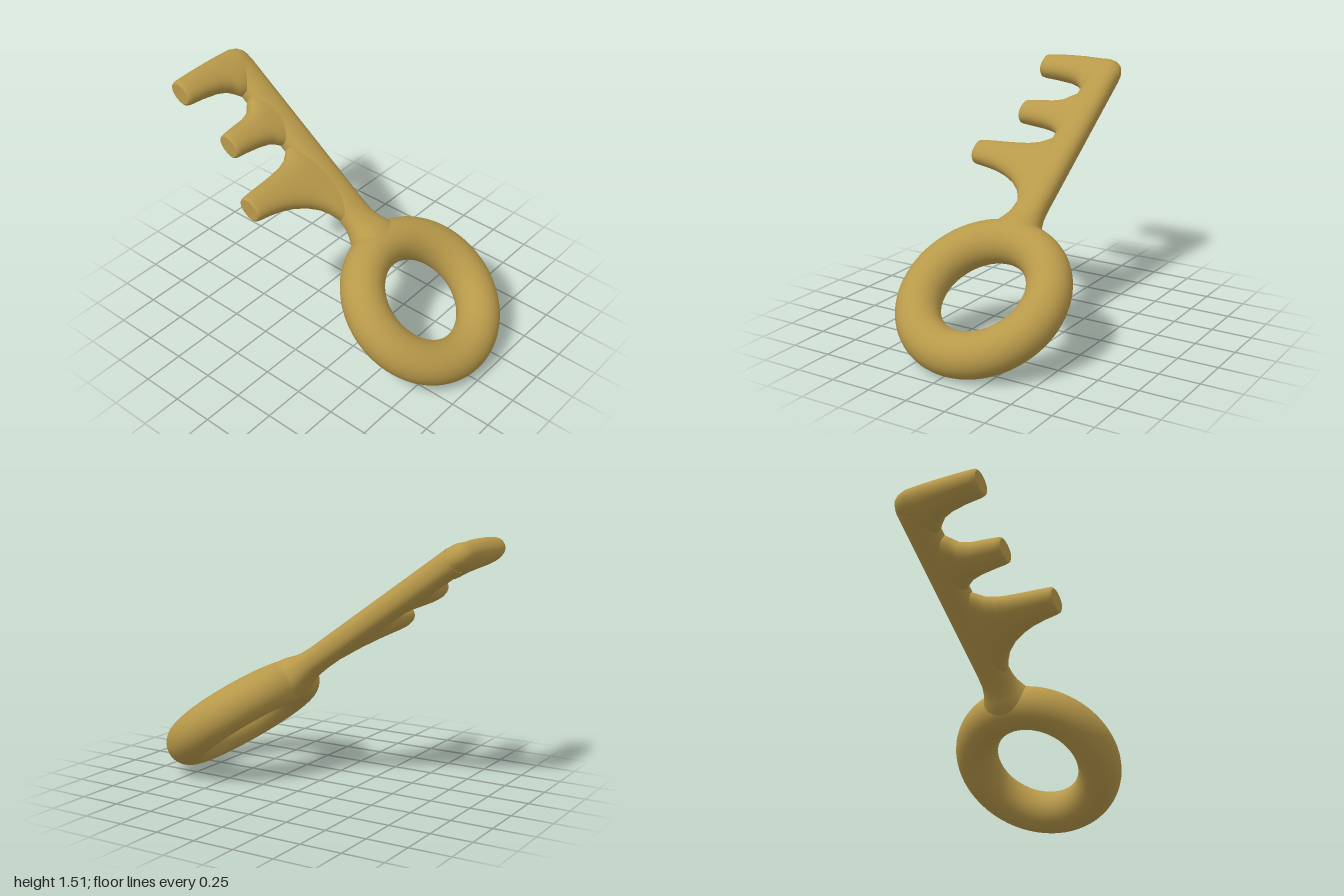
import * as THREE from 'three';

const SEGMENTS = 40;
const TILT = THREE.MathUtils.degToRad(36);

// Loft of rounded sections [z, xMin, xMax, halfThickness] stacked along z, with a flat cap at each end
function loft(sections) {
  const pos = [], index = [];
  const power = (v) => Math.sign(v) * Math.abs(v) ** 0.88;
  const ring = ([z, lo, hi, b]) => {
    for (let j = 0; j < SEGMENTS; j++) {
      const t = (j / SEGMENTS) * Math.PI * 2;
      pos.push((lo + hi) / 2 + ((hi - lo) / 2) * power(Math.cos(t)), b * power(Math.sin(t)), z);
    }
  };
  sections.forEach(ring);
  for (let i = 0; i < sections.length - 1; i++) {
    for (let j = 0; j < SEGMENTS; j++) {
      const k = (j + 1) % SEGMENTS, p = i * SEGMENTS, q = p + SEGMENTS;
      index.push(p + j, p + k, q + k, p + j, q + k, q + j);
    }
  }
  // Caps use their own vertices so the rim stays sharp
  [sections[0], sections[sections.length - 1]].forEach((s, end) => {
    const start = pos.length / 3;
    ring(s);
    const centre = pos.length / 3;
    pos.push((s[1] + s[2]) / 2, 0, s[0]);
    for (let j = 0; j < SEGMENTS; j++) {
      const a = start + j, b = start + ((j + 1) % SEGMENTS);
      if (end) index.push(centre, a, b);
      else index.push(centre, b, a);
    }
  });
  const geometry = new THREE.BufferGeometry();
  geometry.setAttribute('position', new THREE.Float32BufferAttribute(pos, 3));
  geometry.setIndex(index);
  geometry.computeVertexNormals();
  return geometry;
}

// Teeth sections: [z, nearest, farthest distance from the bow centre, halfThickness]
const TEETH = {
  tipTooth: [
    [-0.128, 1.74, 1.79, 0.012], [-0.122, 1.71, 1.825, 0.032], [-0.105, 1.69, 1.86, 0.053],
    [-0.075, 1.67, 1.882, 0.07], [-0.03, 1.63, 1.895, 0.078], [0.06, 1.6, 1.896, 0.079],
    [0.09, 1.635, 1.896, 0.079], [0.13, 1.672, 1.895, 0.079], [0.2, 1.697, 1.893, 0.078],
    [0.3, 1.712, 1.889, 0.075], [0.4, 1.719, 1.884, 0.066], [0.422, 1.724, 1.88, 0.06],
    [0.43, 1.734, 1.87, 0.05],
  ],
  middleTooth: [
    [-0.02, 1.2, 1.59, 0.074], [0.06, 1.22, 1.58, 0.076], [0.09, 1.25, 1.55, 0.076],
    [0.13, 1.274, 1.508, 0.076], [0.2, 1.291, 1.487, 0.075], [0.3, 1.303, 1.477, 0.072],
    [0.365, 1.308, 1.469, 0.065], [0.383, 1.312, 1.465, 0.06], [0.39, 1.322, 1.455, 0.05],
  ],
  longTooth: [
    [-0.02, 0.55, 1.22, 0.074], [0.06, 0.64, 1.205, 0.076], [0.09, 0.71, 1.18, 0.076],
    [0.13, 0.77, 1.15, 0.076], [0.2, 0.83, 1.126, 0.075], [0.28, 0.873, 1.115, 0.073],
    [0.36, 0.902, 1.108, 0.071], [0.45, 0.921, 1.102, 0.068], [0.525, 0.932, 1.096, 0.063],
    [0.543, 0.937, 1.092, 0.059], [0.55, 0.947, 1.082, 0.05],
  ],
};

export function createModel() {
  const model = new THREE.Group();
  model.name = 'key';
  const brass = new THREE.MeshStandardMaterial({ color: 0xb8994a });

  // Key is laid out flat along -x, then tilted about the bow
  const key = new THREE.Group();
  key.name = 'tiltedKey';
  key.position.set(0.545, 0.368, 0);
  key.rotation.z = -TILT;
  model.add(key);

  const add = (name, geometry) => {
    const mesh = new THREE.Mesh(geometry, brass);
    mesh.name = name;
    key.add(mesh);
    return mesh;
  };

  // Ring-shaped bow
  const bow = add('bow', new THREE.TorusGeometry(0.395, 0.132, 32, 80));
  bow.rotation.x = Math.PI / 2;
  bow.position.z = -0.028;

  // Shaft, flaring where it meets the bow: [distance, halfWidth, halfThickness]
  const shaft = [
    [0.38, 0.2, 0.128], [0.44, 0.175, 0.125], [0.48, 0.152, 0.118], [0.52, 0.13, 0.106],
    [0.56, 0.113, 0.093], [0.61, 0.102, 0.083], [0.68, 0.099, 0.078], [1.77, 0.099, 0.078],
  ].map(([d, w, t]) => [d, -0.029 - w, -0.029 + w, t]);
  add('shaft', loft(shaft).rotateY(-Math.PI / 2));

  // Three teeth of the bit
  for (const [name, sections] of Object.entries(TEETH)) {
    add(name, loft(sections.map(([z, near, far, t]) => [z, -far, -near, t])));
  }
  return model;
}
